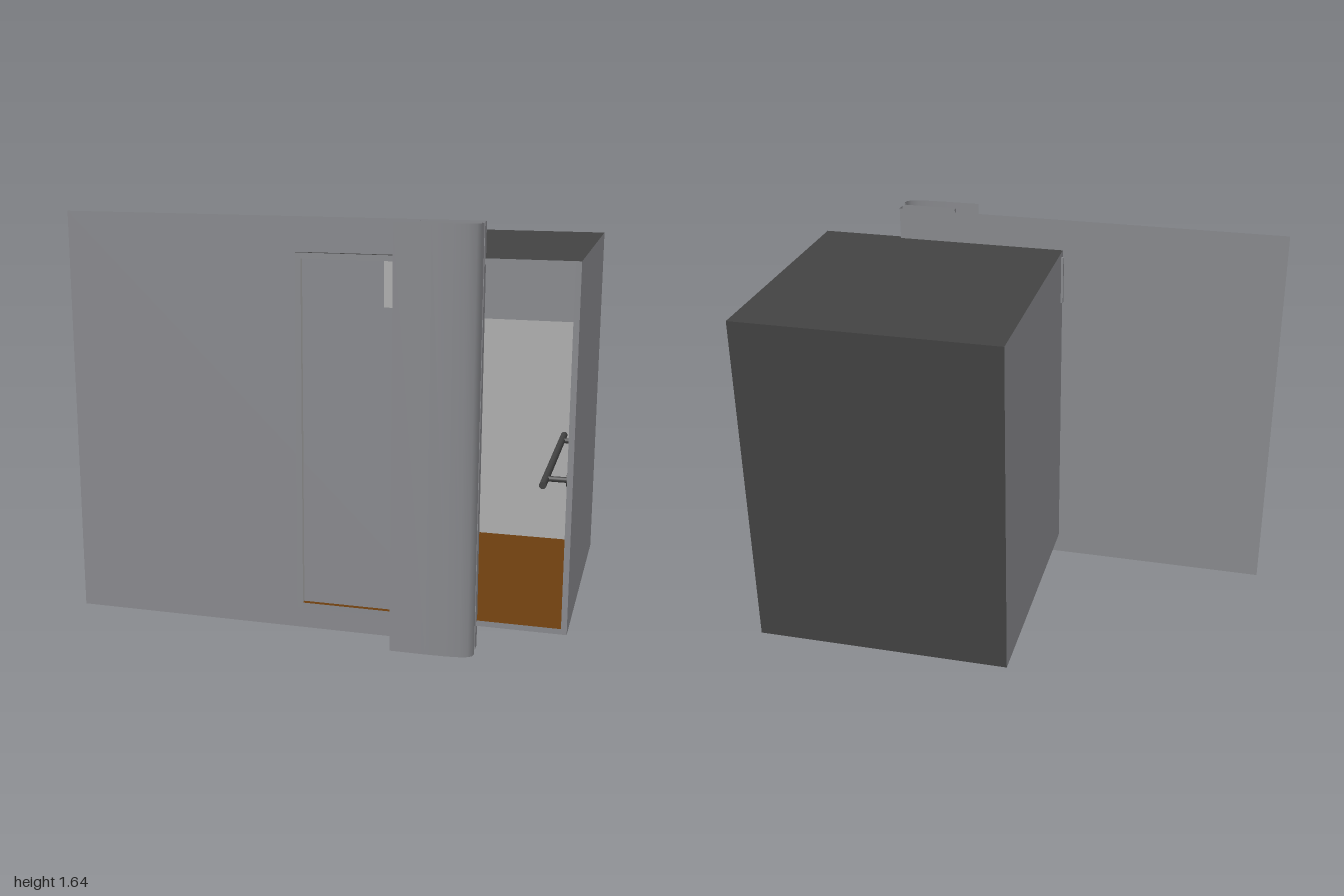
import * as THREE from 'three';
import { toCreasedNormals } from 'three/addons/utils/BufferGeometryUtils.js';

function mat(name, color, side = THREE.FrontSide) {
  const m = new THREE.MeshStandardMaterial({ color, side });
  m.name = name;
  return m;
}

export function createModel() {
  const root = new THREE.Group();
  root.name = 'liftCabin';

  const grey = mat('steelGrey', 0x8a8b8f);
  const sheetGrey = mat('sheetGrey', 0x8a8b8f, THREE.DoubleSide);
  const dark = mat('darkGrey', 0x424242);
  const light = mat('lightGrey', 0xb0b0b0);
  const brown = mat('brownFloor', 0x6b3d0f);

  // Box given by its limits on each axis
  function box(name, x0, x1, y0, y1, z0, z1, material, parent = root) {
    const mesh = new THREE.Mesh(new THREE.BoxGeometry(x1 - x0, y1 - y0, z1 - z0), material);
    mesh.position.set((x0 + x1) / 2, (y0 + y1) / 2, (z0 + z1) / 2);
    mesh.name = name;
    parent.add(mesh);
    return mesh;
  }

  // Cabin shell: material order is +x, -x, +y, -y, +z, -z
  const X0 = -0.063, X1 = 1, Y0 = 0.09, Y1 = 1.505, Z0 = -0.59, Z1 = 0.475, T = 0.022;
  const cabin = new THREE.Group();
  cabin.name = 'cabin';
  root.add(cabin);
  box('leftWall', X1 - T, X1, Y0, Y1, Z0, Z1, [grey, light, dark, dark, grey, dark], cabin);
  box('rightWall', X0, X0 + T, Y0, Y1, Z0, Z1, [light, grey, dark, dark, grey, dark], cabin);
  box('roof', X0 + T, X1 - T, Y1 - T, Y1, Z0, Z1, [grey, grey, dark, light, grey, dark], cabin);
  box('floor', X0 + T, X1 - T, Y0, Y0 + T, Z0, Z1, [grey, grey, brown, dark, grey, dark], cabin);
  box('backWall', X0 + T, X1 - T, Y0 + T, Y1 - T, Z0, Z0 + T, [grey, grey, dark, dark, light, dark], cabin);

  // Header panel above the opening, poking slightly through the right wall
  box('headerPanel', -0.072, X1 - T, 1.28, Y1 - T, 0.422, 0.437, grey, cabin);
  // Small pale panel in front of the wall sheet
  box('displayPanel', 0.28, 0.62, 1.31, Y1 - T, 0.462, 0.47, light, cabin);

  // Handrail on the inner left wall
  const rail = new THREE.Group();
  rail.name = 'handrail';
  root.add(rail);
  function rod(name, r, length, x, z, alongX) {
    const mesh = new THREE.Mesh(new THREE.CylinderGeometry(r, r, length, 16), dark);
    if (alongX) mesh.rotation.z = Math.PI / 2;
    else mesh.rotation.x = Math.PI / 2;
    mesh.position.set(x, 0.63, z);
    mesh.name = name;
    rail.add(mesh);
  }
  rod('railBar', 0.014, 0.8, 0.875, -0.06, false);
  for (const z of [-0.36, 0.24]) {
    rod('railArm', 0.011, 0.1, 0.925, z, true);
    rod('railFlange', 0.025, 0.022, 0.967, z, true);
  }

  // Folded wall sheet: a plan profile of [x, z] points raised to full height
  function sheet(name, points, height) {
    const pos = [], idx = [];
    points.forEach(([x, z], i) => {
      pos.push(x, 0, z, x, height, z);
      if (i) {
        const a = 2 * i - 2;
        idx.push(a, a + 2, a + 1, a + 1, a + 2, a + 3);
      }
    });
    const g = new THREE.BufferGeometry();
    g.setAttribute('position', new THREE.Float32BufferAttribute(pos, 3));
    g.setIndex(idx);
    const mesh = new THREE.Mesh(toCreasedNormals(g, 0.7), sheetGrey);
    mesh.name = name;
    root.add(mesh);
  }
  const H = 1.638;
  sheet('wallSheet', [[-1, 0.455], [0.655, 0.455], [0.655, 0.493], [0.42, 0.493],
    [0.42, 0.51], [0.65, 0.51], [0.65, 0.525], [0.66, 0.54]], H);
  // Rounded front cover of the door pocket
  sheet('frontCover', [[0.34, 0.59], [0.48, 0.59], [0.56, 0.587], [0.61, 0.581],
    [0.64, 0.572], [0.655, 0.56], [0.66, 0.54]], H);

  return root;
}
